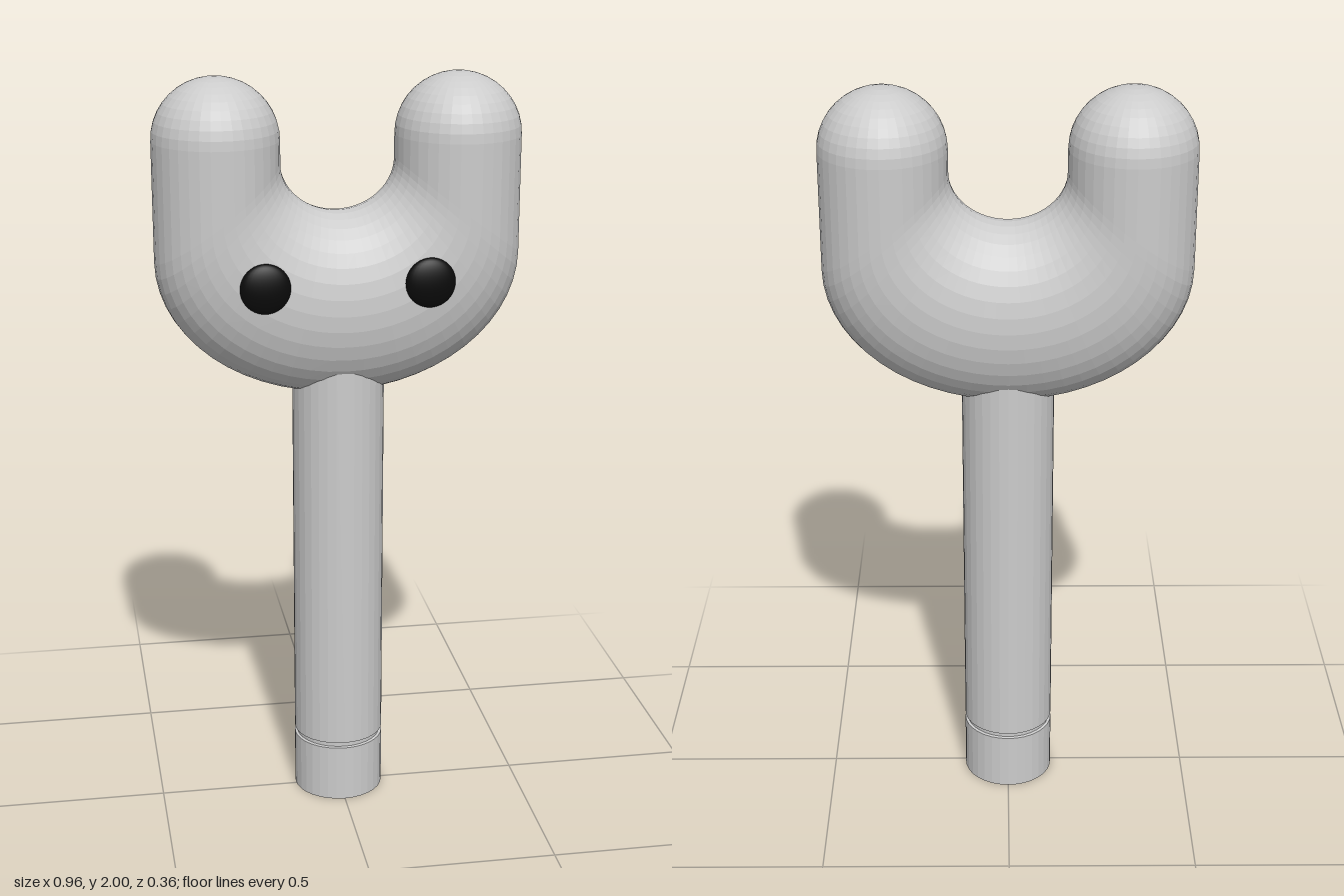
import * as THREE from 'three';

const grey = new THREE.MeshStandardMaterial({ color: 0xcccccc, flatShading: true });
const black = new THREE.MeshStandardMaterial({ color: 0x0a0a0a });

const RADIAL = 36;
const DEPTH = 0.17; // half thickness of the fork, front to back
const ARM_X = 0.314, ARM_R = 0.164, ARM_TOP = 1.84;

// Each ring: inner edge point, outer edge point and half depth.
function forkRings() {
  const dome = (side, p) => ({
    inner: [side * (ARM_X - ARM_R * Math.cos(p)), ARM_TOP + 0.16 * Math.sin(p)],
    outer: [side * (ARM_X + ARM_R * Math.cos(p)), ARM_TOP + 0.16 * Math.sin(p)],
    depth: DEPTH * Math.cos(p),
  });
  const rings = [];
  const steps = 10, arc = 28;
  // rounded tip of the left arm
  for (let i = steps; i >= 0; i--) rings.push(dome(1, (i / steps) * Math.PI / 2));
  // bend: small inner arc, large outer arc
  for (let i = 0; i <= arc; i++) {
    const t = (i / arc) * Math.PI;
    rings.push({
      inner: [0.15 * Math.cos(t), 1.78 - 0.13 * Math.sin(t)],
      outer: [0.478 * Math.cos(t), 1.53 - 0.365 * Math.sin(t)],
      depth: DEPTH,
    });
  }
  // rounded tip of the right arm
  for (let i = 0; i <= steps; i++) rings.push(dome(-1, (i / steps) * Math.PI / 2));
  return rings;
}

// Skin the elliptical rings into one closed surface.
function loft(rings) {
  const positions = [], index = [];
  for (const { inner, outer, depth } of rings) {
    for (let j = 0; j < RADIAL; j++) {
      const a = (j / RADIAL) * Math.PI * 2;
      const k = (1 + Math.cos(a)) / 2;
      positions.push(
        inner[0] + (outer[0] - inner[0]) * k,
        inner[1] + (outer[1] - inner[1]) * k,
        depth * Math.sin(a),
      );
    }
  }
  for (let i = 0; i < rings.length - 1; i++) {
    for (let j = 0; j < RADIAL; j++) {
      const n = (j + 1) % RADIAL;
      const a = i * RADIAL + j, b = i * RADIAL + n;
      const c = a + RADIAL, d = b + RADIAL;
      index.push(a, b, c, b, d, c);
    }
  }
  const geometry = new THREE.BufferGeometry();
  geometry.setAttribute('position', new THREE.Float32BufferAttribute(positions, 3));
  geometry.setIndex(index);
  geometry.computeVertexNormals();
  return geometry;
}

export function createModel() {
  const group = new THREE.Group();
  group.name = 'forkedWand';

  // U-shaped head
  const head = new THREE.Mesh(loft(forkRings()), grey);
  head.name = 'forkedHead';
  head.position.z = -0.013;
  group.add(head);

  // Handle with a thin groove above its end cap
  const profile = [
    [0, 0], [0.122, 0], [0.122, 0.158], [0.115, 0.16],
    [0.115, 0.172], [0.122, 0.174], [0.122, 1.3], [0, 1.3],
  ].map(([r, y]) => new THREE.Vector2(r, y));
  const handle = new THREE.Mesh(new THREE.LatheGeometry(profile, 32), grey);
  handle.name = 'handle';
  handle.position.z = -0.01;
  group.add(handle);

  // Flattened round eyes
  for (const side of [-1, 1]) {
    const eye = new THREE.Mesh(new THREE.SphereGeometry(1, 28, 20), black);
    eye.name = side > 0 ? 'leftEye' : 'rightEye';
    eye.scale.set(0.065, 0.065, 0.023);
    eye.position.set(side * 0.212, 1.49, 0.157);
    group.add(eye);
  }

  return group;
}
